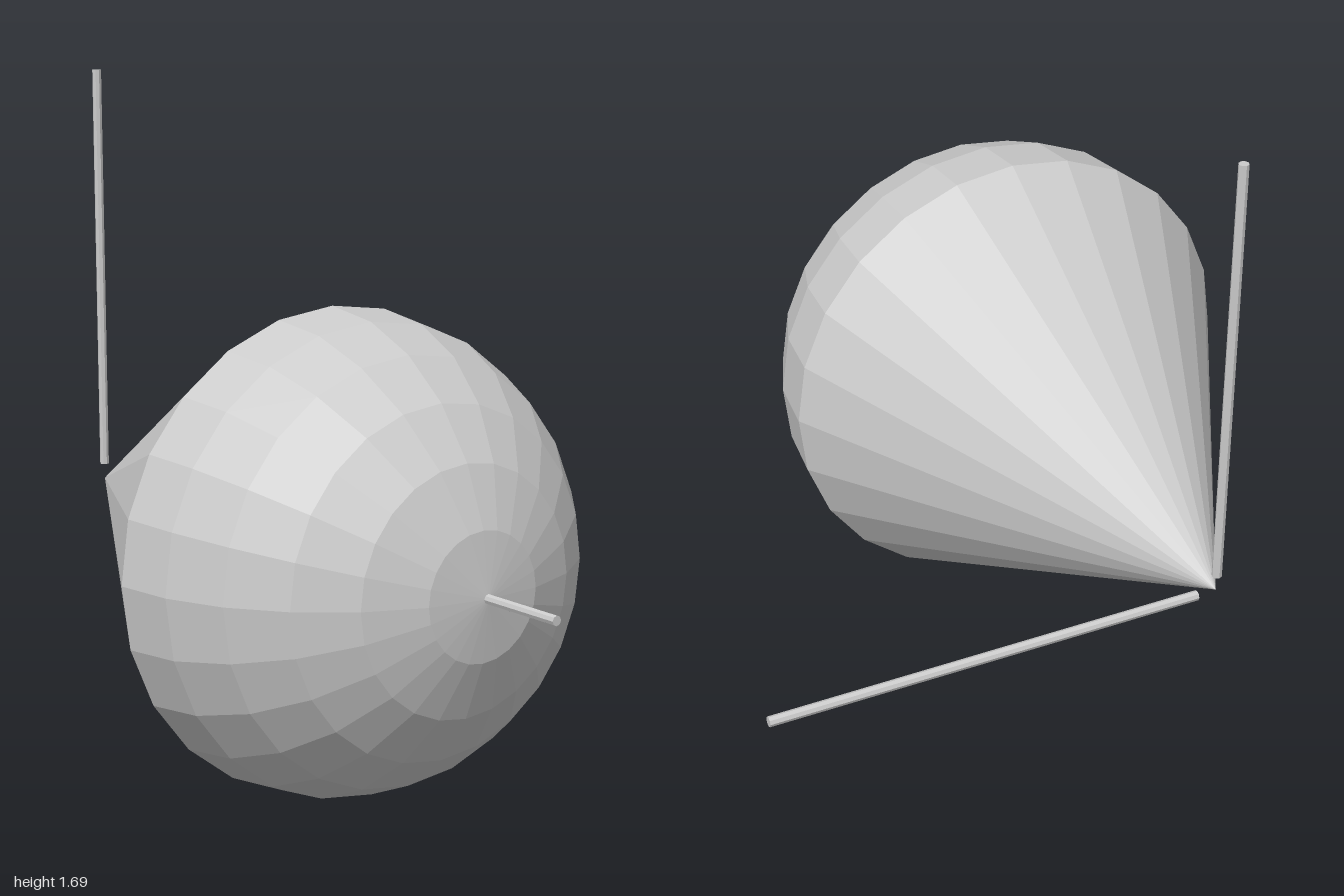
import * as THREE from 'three';

const SIDES = 24;
const RADIUS = 0.593;      // dome radius and cone base radius
const CONE_LENGTH = 1.059;

export function createModel() {
  const model = new THREE.Group();
  model.name = 'sensorVolume';
  const material = new THREE.MeshStandardMaterial({ color: 0xcccccc, flatShading: true });

  const add = (name, geometry) => {
    const mesh = new THREE.Mesh(geometry, material);
    mesh.name = name;
    model.add(mesh);
    return mesh;
  };

  // Origin of everything is the cone tip; the body points along +z
  model.position.set(-0.278, 0.6, -0.933);

  // Cone, opening forward from its tip
  const cone = new THREE.LatheGeometry(
    [new THREE.Vector2(0, 0), new THREE.Vector2(RADIUS, CONE_LENGTH)], SIDES);
  add('cone', cone.rotateX(Math.PI / 2));

  // Hemispherical cap, six rings of 15 degrees
  const profile = [];
  for (let i = 0; i <= 6; i++) {
    const a = (i / 6) * Math.PI / 2;
    profile.push(new THREE.Vector2(
      i === 6 ? 0 : RADIUS * Math.cos(a), CONE_LENGTH + RADIUS * Math.sin(a)));
  }
  add('domeCap', new THREE.LatheGeometry(profile, SIDES).rotateX(Math.PI / 2));

  // Three axis rods, each starting a little off the tip
  const rod = (name, direction, start, end) => {
    const mesh = add(name, new THREE.CylinderGeometry(0.012, 0.012, end - start, 8));
    mesh.quaternion.setFromUnitVectors(new THREE.Vector3(0, 1, 0), direction);
    mesh.position.copy(direction).multiplyScalar((start + end) / 2);
  };
  rod('forwardAxisRod', new THREE.Vector3(0, 0, 1), 0.05, 1.885);
  rod('sideAxisRod', new THREE.Vector3(1, 0, 0), 0.05, 1.105);
  rod('upAxisRod', new THREE.Vector3(0, 1, 0), 0.04, 1.1);

  const root = new THREE.Group();
  root.name = 'model';
  root.add(model);
  return root;
}
